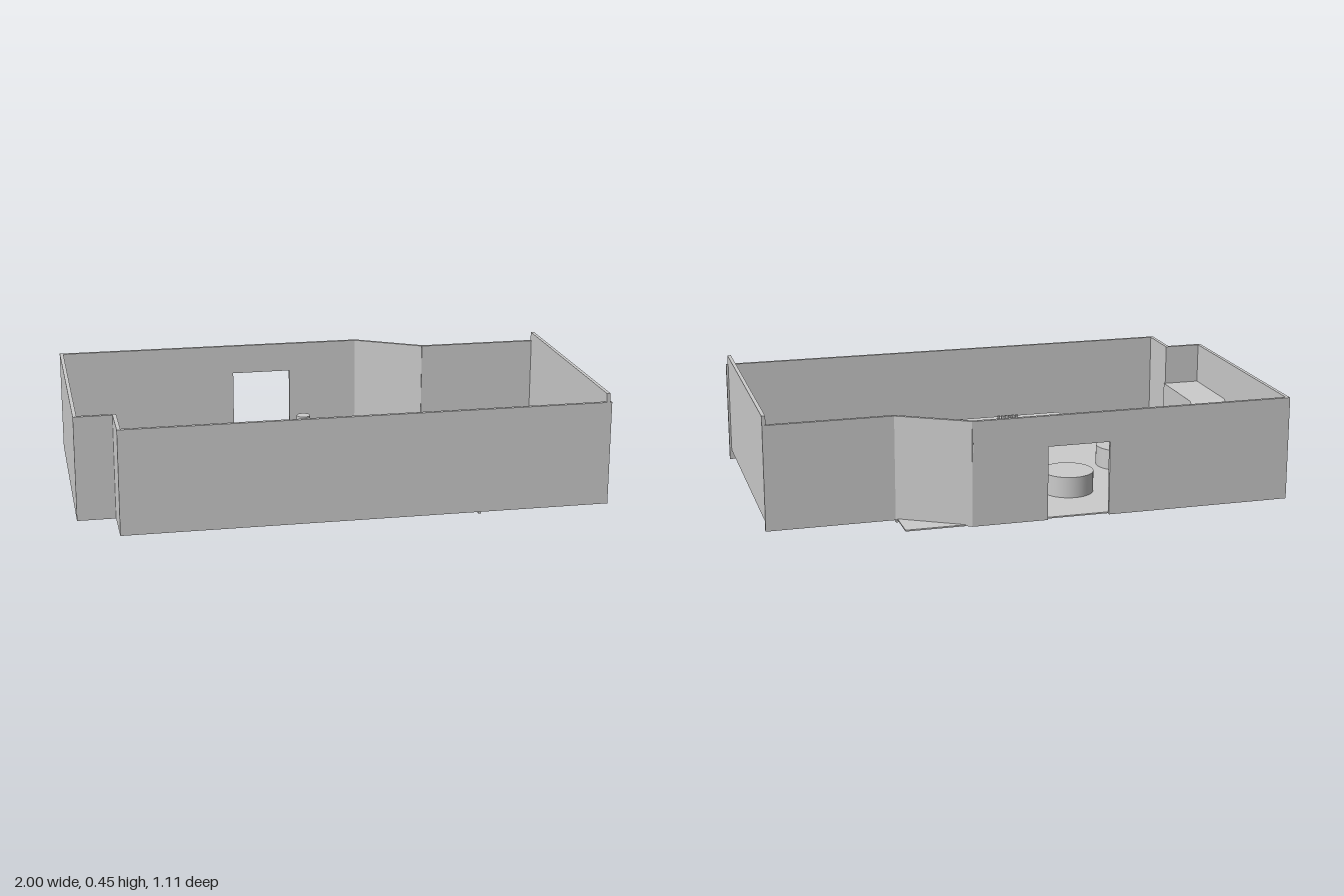
import * as THREE from 'three';

const material = new THREE.MeshStandardMaterial({ color: 0xcccccc, side: THREE.DoubleSide });
const BASE = 0.0125, FLOOR = 0.018, TOP = 0.415, T = 0.014;

export function createModel() {
  const model = new THREE.Group();

  const add = (name, geometry) => {
    const mesh = new THREE.Mesh(geometry, material);
    mesh.name = name;
    model.add(mesh);
    return mesh;
  };

  // box given by its lower and upper limits on each axis
  const block = (name, x0, x1, y0, y1, z0, z1) => {
    const mesh = add(name, new THREE.BoxGeometry(x1 - x0, y1 - y0, z1 - z0));
    mesh.position.set((x0 + x1) / 2, (y0 + y1) / 2, (z0 + z1) / 2);
    return mesh;
  };

  // round solid standing on the floor
  const drum = (name, x, z, radius, top) => {
    const mesh = add(name, new THREE.CylinderGeometry(radius, radius, top - BASE, 48));
    mesh.position.set(x, (top + BASE) / 2, z);
  };

  // floors: main hall, side alcove and raised platform with its riser
  block('mainFloor', -0.84, 0.5, BASE, FLOOR, -0.54, 0.54);
  block('alcoveFloor', -0.99, -0.84, BASE, FLOOR, -0.54, 0.355);
  block('platformFloor', 0.5, 0.985, 0.045, 0.05, -0.395, 0.54);
  block('platformRiser', 0.495, 0.504, 0, 0.045, -0.395, 0.54);
  block('platformStep', 0.485, 0.498, BASE, 0.035, -0.065, 0.095);

  // outer walls
  block('frontWall', -0.855, 1, BASE, TOP, 0.54, 0.554);
  block('platformSideWall', 0.978, 0.992, 0.05, 0.45, -0.4, 0.554);
  block('platformBackWall', 0.5, 0.992, BASE, TOP, -0.404, -0.39);
  block('alcoveSideWall', -1, -0.986, BASE, TOP, -0.554, 0.366);
  block('alcoveFrontWall', -0.986, -0.841, BASE, TOP, 0.352, 0.366);
  block('frontReturnWall', -0.855, -0.841, BASE, TOP, 0.366, 0.54);

  // back wall with a doorway cut up from the floor
  const wall = new THREE.Shape([
    [-0.986, BASE], [-0.28, BASE], [-0.28, 0.297], [-0.04, 0.297],
    [-0.04, BASE], [0.25, BASE], [0.25, TOP], [-0.986, TOP],
  ].map(([x, y]) => new THREE.Vector2(x, y)));
  add('backWall', new THREE.ExtrudeGeometry(wall, { depth: T, bevelEnabled: false }))
    .position.z = -0.554;

  // slanting wall across the back corner
  const slant = block('slantedWall', 0, Math.hypot(0.26, 0.15), BASE, TOP, 0, T);
  slant.position.set(0.373, (BASE + TOP) / 2, -0.473);
  slant.rotation.y = -Math.atan2(0.15, 0.26);

  // landing and ramp in the alcove, one side profile carried across its width
  const ramp = new THREE.Shape([
    [-0.355, BASE], [0.335, BASE], [-0.05, 0.255], [-0.355, 0.255],
  ].map(([z, y]) => new THREE.Vector2(z, y)));
  const rampMesh = add('landingAndRamp',
    new THREE.ExtrudeGeometry(ramp, { depth: 0.15, bevelEnabled: false }));
  rampMesh.rotation.y = Math.PI / 2;
  rampMesh.position.x = -0.986;

  // round tables and the slim post between them
  [[-0.215, -0.245], [0.19, -0.225], [0.155, 0.125], [-0.53, 0.035]]
    .forEach(([x, z]) => drum('roundTable', x, z, 0.1, 0.1));
  drum('post', -0.065, -0.07, 0.027, 0.24);

  // counter with a row of small taps
  block('counter', -0.405, 0.065, BASE, 0.125, 0.38, 0.485);
  for (let i = 0; i < 6; i++) {
    const x = -0.195 + i * 0.0155;
    block('tap', x, x + 0.009, 0.125, 0.155, 0.384, 0.394);
  }

  // low desk parallel to the slanted wall
  const desk = block('cornerDesk', -0.111, 0.111, BASE, 0.065, -0.046, 0.046);
  desk.position.x = 0.335;
  desk.position.z = -0.4;
  desk.rotation.y = -Math.PI / 6;

  return model;
}
